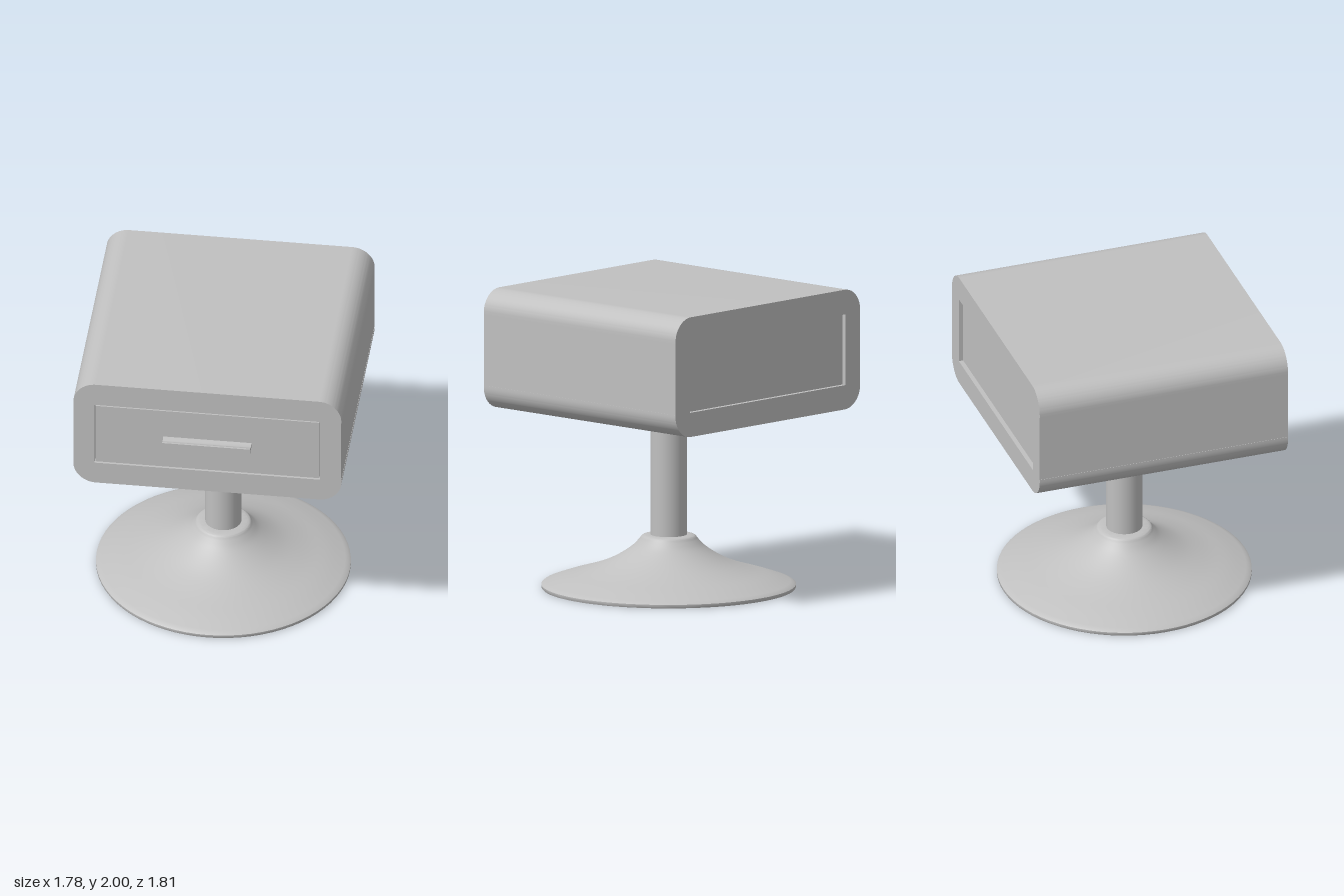
import * as THREE from 'three';
import { toCreasedNormals } from 'three/addons/utils/BufferGeometryUtils.js';

const BACK = -0.9, FRONT = 0.83, DEPTH = FRONT - BACK, MID = (FRONT + BACK) / 2;
const HALF = 0.89, AXIS_Z = -0.005;

export function createModel() {
  const group = new THREE.Group();
  const gray = new THREE.MeshStandardMaterial({ color: 0xc0c0c0 });
  gray.name = 'plain gray';

  const add = (name, geometry, x = 0, y = 0, z = 0) => {
    const mesh = new THREE.Mesh(geometry, gray);
    mesh.name = name;
    mesh.position.set(x, y, z);
    group.add(mesh);
    return mesh;
  };
  const box = (name, w, h, d, x, y, z) => add(name, new THREE.BoxGeometry(w, h, d), x, y, z);

  // Top and bottom slabs, each with two rounded outer corners
  const slab = (name, inner, outer) => {
    const r = 0.15, s = Math.sign(outer - inner), up = s > 0;
    const shape = new THREE.Shape();
    shape.moveTo(-HALF, inner);
    shape.lineTo(HALF, inner);
    shape.lineTo(HALF, outer - s * r);
    shape.absarc(HALF - r, outer - s * r, r, 0, s * Math.PI / 2, !up);
    shape.lineTo(-HALF + r, outer);
    shape.absarc(-HALF + r, outer - s * r, r, s * Math.PI / 2, s * Math.PI, !up);
    shape.closePath();
    const geo = new THREE.ExtrudeGeometry(shape, { depth: DEPTH, bevelEnabled: false, curveSegments: 14 });
    add(name, toCreasedNormals(geo, 0.6), 0, 0, BACK);
  };
  slab('topShell', 1.835, 2.0);
  slab('bottomShell', 1.362, 1.2);

  // Side walls between the slabs
  for (const s of [1, -1]) {
    box(s > 0 ? 'leftWall' : 'rightWall', 0.138, 0.473, DEPTH, s * 0.819, 1.5985, MID);
  }

  // Drawer with a narrow gap around it, and the recessed back panel
  box('drawerFront', 1.488, 0.453, 0.1, 0, 1.5985, FRONT - 0.053);
  box('drawerGapBack', 1.5, 0.473, 0.02, 0, 1.5985, FRONT - 0.06);
  box('backPanel', 1.5, 0.473, 0.04, 0, 1.5985, BACK + 0.05);

  // Handle: a waisted bar across the drawer
  const grip = new THREE.Shape([
    [0.82, 1.583], [0.835, 1.583], [0.86, 1.592], [0.88, 1.588], [0.892, 1.579], [0.905, 1.579],
    [0.905, 1.62], [0.892, 1.62], [0.88, 1.611], [0.86, 1.607], [0.835, 1.617], [0.82, 1.617],
  ].map(([z, y]) => new THREE.Vector2(-z, y)));
  const handle = new THREE.ExtrudeGeometry(grip, { depth: 0.586, bevelEnabled: false });
  handle.rotateY(Math.PI / 2).translate(-0.293, 0, 0);
  add('handle', toCreasedNormals(handle, 0.6));

  // Mounting plate with four screws
  box('mountingPlate', 0.39, 0.012, 0.39, 0, 1.195, AXIS_Z);
  for (const x of [-0.165, 0.165]) {
    for (const z of [-0.165, 0.165]) {
      const screw = new THREE.SphereGeometry(0.02, 14, 6, 0, Math.PI * 2, Math.PI / 2, Math.PI / 2);
      screw.scale(1, 0.55, 1);
      add('screw', screw, x, 1.19, AXIS_Z + z);
    }
  }

  // Column
  add('column', new THREE.CylinderGeometry(0.12, 0.12, 0.87, 48), 0, 0.765, AXIS_Z);

  // Trumpet-shaped foot
  const flare = new THREE.SplineCurve([
    [0.825, 0.035], [0.7, 0.078], [0.55, 0.122], [0.42, 0.17], [0.32, 0.222],
    [0.24, 0.278], [0.195, 0.325], [0.178, 0.347], [0.158, 0.355],
  ].map(([x, y]) => new THREE.Vector2(x, y))).getPoints(32);
  const profile = [
    new THREE.Vector2(0, 0), new THREE.Vector2(0.835, 0), new THREE.Vector2(0.84, 0.008),
    new THREE.Vector2(0.84, 0.024), ...flare, new THREE.Vector2(0.11, 0.355),
  ];
  add('foot', toCreasedNormals(new THREE.LatheGeometry(profile, 72), 0.6), 0, 0, AXIS_Z);

  return group;
}
